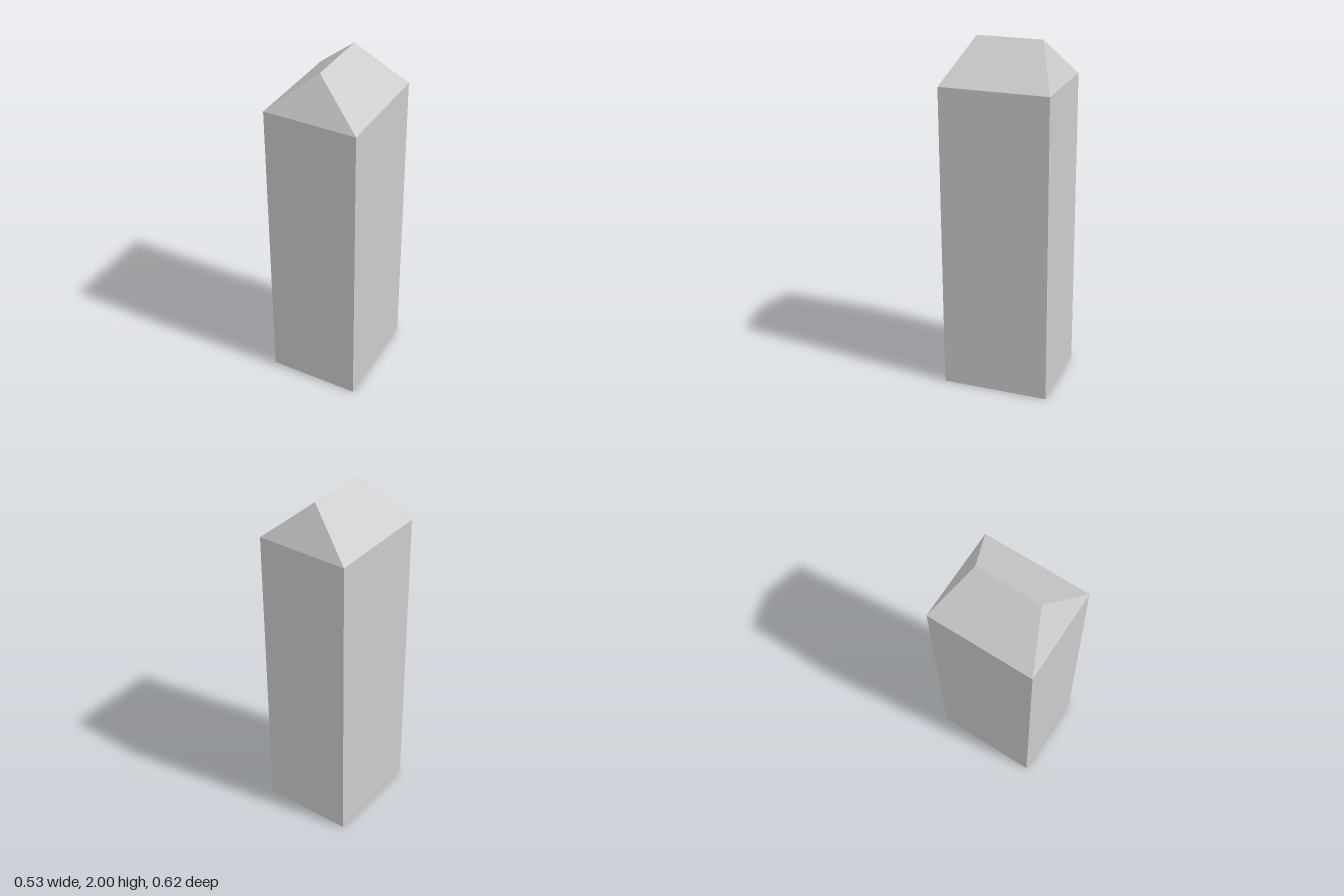
import * as THREE from 'three';

const WIDTH = 0.53, DEPTH = 0.616, EAVES = 1.77, HEIGHT = 2, RIDGE = 0.374;

// Open four-sided tube, tapering from a base rectangle to a top rectangle
function walls(name, y0, y1, topWidth, topDepth, material) {
  const box = new THREE.CylinderGeometry(Math.SQRT1_2, Math.SQRT1_2, 1, 4, 1, true).rotateY(Math.PI / 4);
  const pos = box.attributes.position;
  for (let i = 0; i < pos.count; i++) {
    const top = pos.getY(i) > 0;
    pos.setXYZ(i,
      pos.getX(i) * (top ? topWidth : WIDTH),
      top ? y1 : y0,
      pos.getZ(i) * (top ? topDepth : DEPTH));
  }
  const geometry = box.toNonIndexed();
  geometry.computeVertexNormals();
  const mesh = new THREE.Mesh(geometry, material);
  mesh.name = name;
  return mesh;
}

export function createModel() {
  const group = new THREE.Group();
  group.name = 'tower';
  const grey = new THREE.MeshStandardMaterial({ color: 0xcccccc, flatShading: true });
  const red = new THREE.MeshStandardMaterial({ color: 0xc02010 });

  // Straight shaft and hipped roof closing to a ridge along z
  group.add(walls('shaft', 0, EAVES, WIDTH, DEPTH, grey));
  group.add(walls('hippedRoof', EAVES, HEIGHT, 0, RIDGE, grey));

  // Underside, facing down
  const base = new THREE.Mesh(new THREE.PlaneGeometry(WIDTH, DEPTH).rotateX(Math.PI / 2), red);
  base.name = 'underside';
  group.add(base);
  return group;
}
